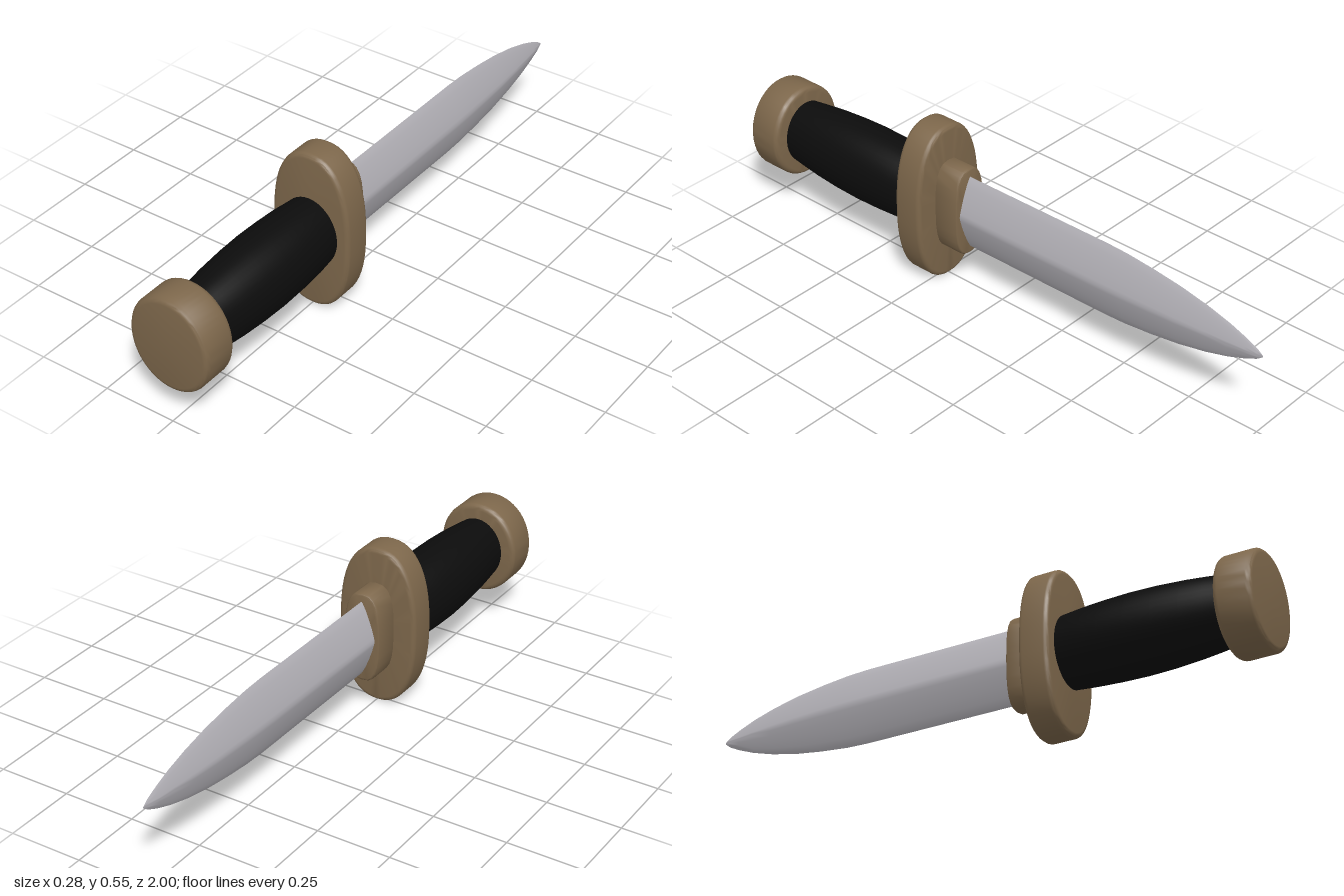
import * as THREE from 'three';
import { toCreasedNormals } from 'three/addons/utils/BufferGeometryUtils.js';

const CENTRE_Y = 0.278;

// Loft superellipse sections [z, halfWidth, halfHeight], ordered by rising z; ends are closed
function loft(sections, power, sides) {
  const first = sections[0], last = sections[sections.length - 1];
  const rings = [[first[0], 0, 0], ...sections, [last[0], 0, 0]];
  const positions = [], index = [];
  const bend = (v) => Math.sign(v) * Math.pow(Math.abs(v) < 1e-9 ? 0 : Math.abs(v), 2 / power);
  for (const [z, rx, ry] of rings) {
    for (let j = 0; j < sides; j++) {
      const a = (j / sides) * Math.PI * 2;
      positions.push(rx * bend(Math.cos(a)), CENTRE_Y + ry * bend(Math.sin(a)), z);
    }
  }
  for (let i = 0; i < rings.length - 1; i++) {
    for (let j = 0; j < sides; j++) {
      const k = (j + 1) % sides;
      const a = i * sides + j, b = i * sides + k, c = a + sides, d = b + sides;
      if (i > 0) index.push(a, b, d);
      if (i < rings.length - 2) index.push(a, d, c);
      if (i === 0) index.push(a, d, c);
      if (i === rings.length - 2 && i === 0) index.push(a, b, d);
    }
  }
  const geometry = new THREE.BufferGeometry();
  geometry.setAttribute('position', new THREE.Float32BufferAttribute(positions, 3));
  geometry.setIndex(index);
  return geometry;
}

// Disc with softly rounded rims
function roundedDisc(z0, z1, rx, ry, bevel) {
  const steps = 4, sections = [];
  for (const end of [0, 1]) {
    for (let s = 0; s <= steps; s++) {
      const a = ((end ? steps - s : s) / steps) * Math.PI / 2;
      const inset = bevel * (1 - Math.sin(a)), depth = bevel * (1 - Math.cos(a));
      sections.push([end ? z1 - depth : z0 + depth, rx - inset, ry - inset]);
    }
  }
  return sections;
}

export function createModel() {
  const model = new THREE.Group();
  model.name = 'dagger';
  const bronze = new THREE.MeshStandardMaterial({ color: 0x7d674b });
  bronze.name = 'bronze';
  const black = new THREE.MeshStandardMaterial({ color: 0x0c0c0c });
  black.name = 'blackGrip';
  const steel = new THREE.MeshStandardMaterial({ color: 0xb3b1b7 });
  steel.name = 'steel';

  const add = (name, geometry, material, crease) => {
    const mesh = new THREE.Mesh(toCreasedNormals(geometry, crease), material);
    mesh.name = name;
    model.add(mesh);
  };

  // Handle end, guard and the collar that holds the blade
  add('pommel', loft(roundedDisc(0.875, 1, 0.142, 0.161, 0.018), 2.05, 48), bronze, 0.7);
  add('guard', loft(roundedDisc(0.225, 0.33, 0.142, 0.276, 0.016), 2.35, 56), bronze, 0.7);
  add('collar', loft(roundedDisc(0.135, 0.24, 0.065, 0.157, 0.01), 2.8, 24), bronze, 0.7);

  // Barrel-shaped grip
  add('grip', loft([
    [0.32, 0.1, 0.12], [0.4, 0.111, 0.126], [0.48, 0.116, 0.13], [0.57, 0.118, 0.132],
    [0.66, 0.115, 0.13], [0.75, 0.109, 0.124], [0.82, 0.101, 0.117], [0.885, 0.093, 0.109],
  ], 2, 40), black, 0.7);

  // Double-edged blade, with a soft ridge and a leaf-shaped point
  add('blade', loft([
    [-1, 0.001, 0.003], [-0.98, 0.006, 0.018], [-0.94, 0.012, 0.037], [-0.88, 0.019, 0.06],
    [-0.8, 0.027, 0.083], [-0.7, 0.035, 0.104], [-0.6, 0.04, 0.118], [-0.5, 0.044, 0.128],
    [-0.42, 0.046, 0.131], [-0.1, 0.048, 0.131], [0.15, 0.05, 0.131],
  ], 1.2, 24), steel, 0.8);

  return model;
}
